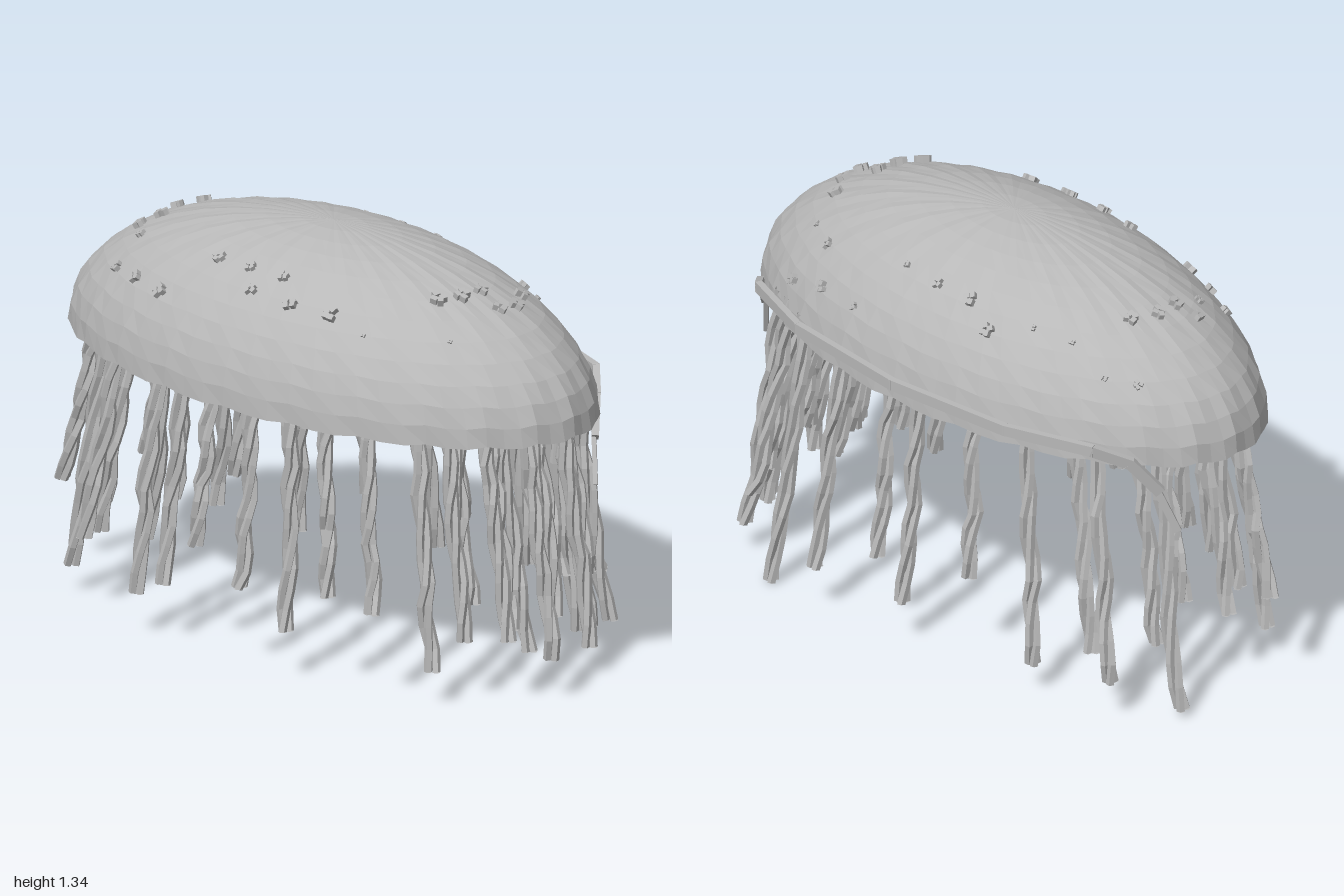
import * as THREE from 'three';
import { mergeGeometries } from 'three/addons/utils/BufferGeometryUtils.js';

const RX = 0.987, RY = 0.475, RZ = 0.515, BASE = 0.87, CX = 0.006, CZ = 0.017;

// Small seeded random generator
function seeded(seed) {
  return () => {
    seed = (seed * 16807) % 2147483647;
    return seed / 2147483647;
  };
}

// Dome height above a ground position
function domeY(x, z) {
  return BASE + RY * Math.sqrt(Math.max(0, 1 - ((x - CX) / RX) ** 2 - ((z - CZ) / RZ) ** 2));
}

// Half ellipsoid with fine swirling ripples and a scalloped rim, open below
function domeGeometry() {
  const g = new THREE.SphereGeometry(1, 72, 12, 0, Math.PI * 2, 0, Math.PI / 2);
  const p = g.attributes.position;
  for (let i = 0; i < p.count; i++) {
    const x = p.getX(i), y = p.getY(i), z = p.getZ(i);
    const a = Math.atan2(z, x), r = Math.hypot(x, z);
    const ripple = 1 + 0.004 * Math.sin(a * 24 + y * 9) * Math.min(1, r * 2);
    const scallop = 0.006 * Math.cos(a * 24) * r ** 8;
    p.setXYZ(i, CX + x * RX * ripple, BASE + y * RY * ripple + scallop, CZ + z * RZ * ripple);
  }
  g.computeVertexNormals();
  return g;
}

// Three strands twisted around a wavering centre line
function tentacleGeometry(x, y, z, rand) {
  const top = new THREE.Vector3(x * 0.85, 0.95, z * 0.87), end = new THREE.Vector3(x, y + 0.003, z);
  const phase = rand() * 6.28, steps = 9, strands = [];
  const wave = Array.from({ length: steps + 1 }, () => [(rand() - 0.5) * 0.018, (rand() - 0.5) * 0.018]);
  for (let s = 0; s < 3; s++) {
    const pts = wave.map(([wx, wz], i) => {
      const t = i / steps, a = phase + s * 2.094 + t * 9;
      const c = top.clone().lerp(end, t);
      return c.add(new THREE.Vector3(wx + 0.0145 * Math.cos(a), 0, wz + 0.0145 * Math.sin(a)));
    });
    strands.push(new THREE.TubeGeometry(new THREE.CatmullRomCurve3(pts), 12, 0.0138, 5));
    // Flat cap closing the lower end
    const cap = new THREE.CircleGeometry(0.0138, 5).rotateX(Math.PI / 2);
    strands.push(cap.translate(pts[steps].x, pts[steps].y, pts[steps].z));
  }
  return mergeGeometries(strands);
}

// Rectangular strip swept along straight segments
function bandGeometry(points, width, depth) {
  const parts = [];
  for (let i = 0; i < points.length - 1; i++) {
    const a = new THREE.Vector3(...points[i]), b = new THREE.Vector3(...points[i + 1]);
    const dir = b.clone().sub(a), len = dir.length();
    dir.normalize();
    const mid = a.clone().add(b).multiplyScalar(0.5);
    const out = new THREE.Vector3(mid.x * 0.28, 0, mid.z);
    out.addScaledVector(dir, -out.dot(dir)).normalize();
    const side = new THREE.Vector3().crossVectors(out, dir);
    const m = new THREE.Matrix4().makeBasis(dir, side, out).setPosition(mid);
    parts.push(new THREE.BoxGeometry(len + 0.008, width, depth).applyMatrix4(m));
  }
  return mergeGeometries(parts);
}

// Cluster of tiny knobs sitting on the dome
function wartGeometry(x, z, size, rand) {
  const n = new THREE.Vector3((x - CX) / RX ** 2, (domeY(x, z) - BASE) / RY ** 2, (z - CZ) / RZ ** 2).normalize();
  const q = new THREE.Quaternion().setFromUnitVectors(new THREE.Vector3(0, 1, 0), n);
  const parts = [];
  for (let i = 0; i < 4; i++) {
    const a = i * 1.57 + rand(), r = size * 0.3;
    const knob = new THREE.BoxGeometry(size * 0.42, size * 0.45, size * 0.36).rotateY(rand() * 3);
    parts.push(knob.translate(Math.cos(a) * r, size * 0.17, Math.sin(a) * r));
  }
  return mergeGeometries(parts).applyQuaternion(q).translate(x, domeY(x, z), z);
}

export function createModel() {
  const group = new THREE.Group();
  const rand = seeded(77);
  const grey = new THREE.MeshStandardMaterial({ color: 0xb8b8b8, flatShading: true, side: THREE.DoubleSide });
  grey.name = 'grey';
  const add = (name, geometry, parent = group) => {
    const mesh = new THREE.Mesh(geometry, grey);
    mesh.name = name;
    parent.add(mesh);
  };

  add('dome', domeGeometry());

  // Band around the back rim with drooping ends
  const half = [[0, 0.93, -0.508], [0.46, 0.935, -0.47], [0.74, 0.93, -0.365], [0.82, 0.885, -0.28], [0.875, 0.785, -0.21]];
  const mirrored = half.slice(1).reverse().map(([x, y, z]) => [-x, y, z]);
  add('backBand', bandGeometry([...mirrored, ...half], 0.035, 0.022));
  for (const s of [-1, 1]) {
    add('bandTip', bandGeometry([[s * 0.865, 0.79, -0.215], [s * 0.912, 0.65, -0.17]], 0.024, 0.014));
  }

  // Tentacles, given by the position of the lower end
  const tentacles = new THREE.Group();
  tentacles.name = 'tentacles';
  group.add(tentacles);
  const ends = [
    [-0.96, 0.31, 0.18], [-0.92, 0.03, -0.17], [-0.86, 0.35, -0.09], [-0.81, 0.1, 0.31], [-0.79, 0.13, -0.34],
    [-0.73, 0.23, -0.37], [-0.67, 0.25, 0.4], [-0.5, 0.1, -0.39], [-0.41, 0.15, 0.47], [-0.31, 0.2, 0.45],
    [-0.21, 0.29, -0.38], [-0.16, 0.36, 0.47], [0, 0.15, -0.45], [0.03, 0.27, 0.47], [0.12, 0.27, -0.46],
    [0.2, 0.17, 0.46], [0.34, 0.16, -0.51], [0.37, 0.32, 0.46], [0.57, 0.01, -0.46], [0.54, 0.3, 0.44],
    [0.69, 0.12, 0.34], [0.77, 0.11, -0.39], [0.84, 0.15, 0.07], [0.87, 0.1, -0.2], [0.94, 0.14, 0.06],
    [0.75, 0.21, 0.26], [0.82, 0.23, 0.11], [0.9, 0.26, -0.01], [0.72, 0.31, 0.19], [0.8, 0.13, -0.27],
    [0.83, 0.35, -0.1], [0.7, 0.25, -0.42], [-0.86, 0.24, 0.1], [-0.8, 0.2, -0.15], [-0.73, 0.22, 0.27],
    [0.87, 0.22, 0.19], [0.76, 0.28, -0.32],
  ];
  for (const [x, y, z] of ends) add('tentacle', tentacleGeometry(x, y, z, rand), tentacles);

  // Warts, given by ground position and size
  const warts = new THREE.Group();
  warts.name = 'warts';
  group.add(warts);
  const spots = [
    [-0.62, 0.31, 0.035], [-0.5, 0.36, 0.04], [-0.36, 0.405, 0.045], [-0.2, 0.31, 0.04], [-0.065, 0.32, 0.035],
    [0.07, 0.32, 0.035], [-0.01, 0.38, 0.04], [0.15, 0.38, 0.045], [0.3, 0.36, 0.05], [0.43, 0.36, 0.015],
    [0.67, 0.23, 0.015], [0.64, -0.13, 0.045], [0.69, -0.05, 0.045], [0.6, 0.01, 0.045], [0.685, 0.02, 0.045],
    [0.59, 0.085, 0.05], [0.55, 0.15, 0.05], [-0.61, -0.08, 0.045], [-0.64, 0.01, 0.045], [-0.63, 0.09, 0.045],
    [-0.685, 0.13, 0.04], [-0.62, 0.2, 0.03], [-0.27, -0.36, 0.045], [-0.16, -0.325, 0.045], [-0.02, -0.33, 0.035],
    [0.13, -0.32, 0.025], [0.25, -0.43, 0.025], [0.42, -0.4, 0.04], [0.49, -0.31, 0.035], [0.58, -0.37, 0.04],
    [0.6, -0.25, 0.02], [-0.53, -0.25, 0.02], [-0.67, -0.25, 0.025], [-0.76, -0.19, 0.03], [-0.4, -0.29, 0.02],
  ];
  for (const [x, z, size] of spots) add('wart', wartGeometry(x, z, size, rand), warts);

  return group;
}
